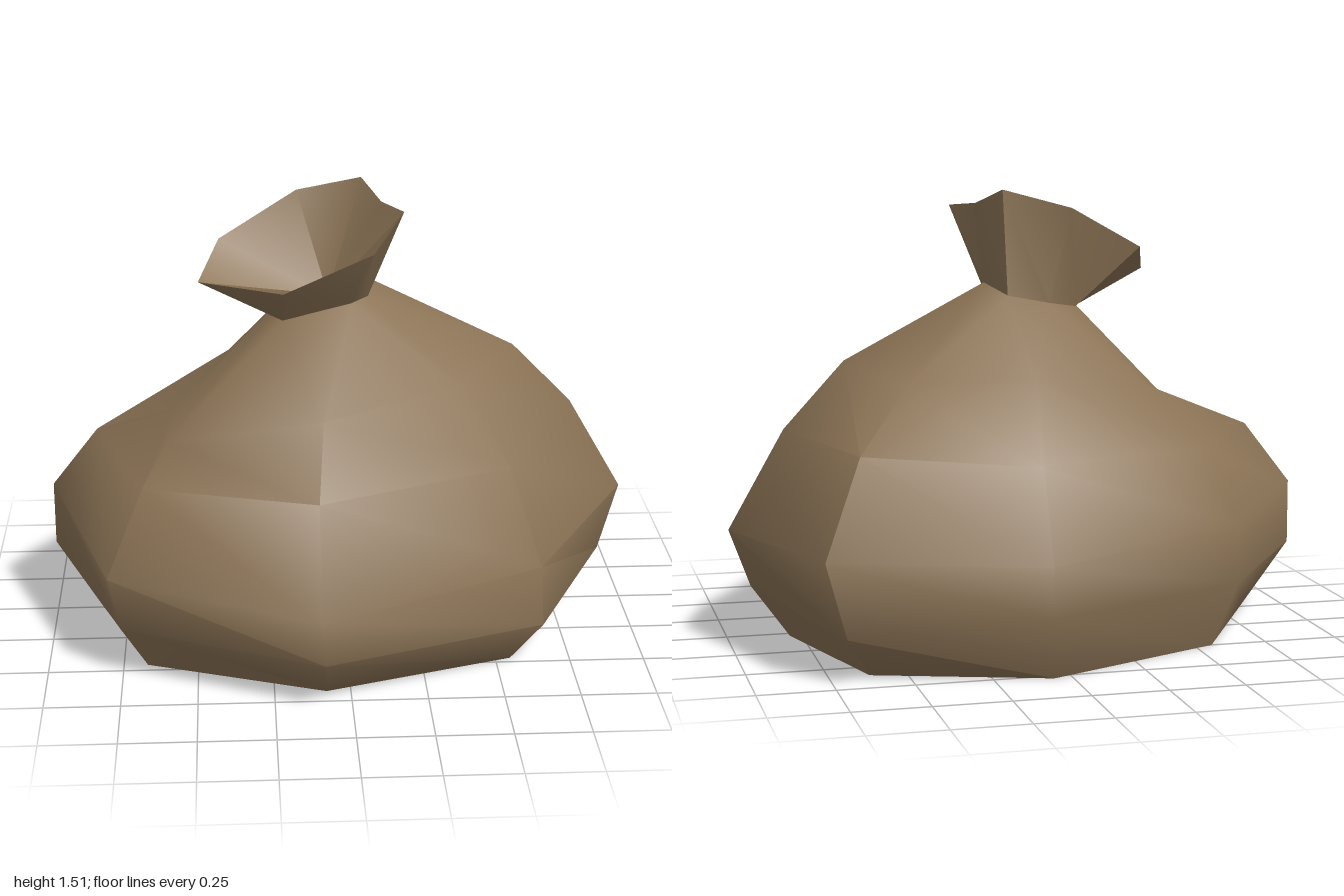
import * as THREE from 'three';
import { toCreasedNormals } from 'three/addons/utils/BufferGeometryUtils.js';

// Each ring runs back, back +x, +x, front +x, front, front -x, -x, back -x.
const base = [[0.06, 0, -0.78], [0.62, 0, -0.6], [0.79, 0, -0.03], [0.55, 0, 0.47],
  [-0.08, 0, 0.68], [-0.67, 0, 0.46], [-0.84, 0, 0], [-0.56, 0, -0.5]];
const low = [[0.08, 0.21, -0.86], [0.71, 0.15, -0.73], [0.92, 0.18, -0.03], [0.65, 0.155, 0.54],
  [-0.09, 0.18, 0.86], [-0.75, 0.18, 0.56], [-1, 0.24, -0.04], [-0.63, 0.22, -0.56]];
const belly = [[0.08, 0.37, -0.85], [0.78, 0.4, -0.75], [1, 0.39, -0.1], [0.64, 0.36, 0.53],
  [-0.1, 0.32, 0.85], [-0.79, 0.37, 0.58], [-1, 0.46, -0.04], [-0.63, 0.42, -0.55]];
const upper = [[0.07, 0.66, -0.69], [0.64, 0.7, -0.59], [0.81, 0.72, -0.09], [0.54, 0.68, 0.44],
  [-0.1, 0.66, 0.68], [-0.67, 0.65, 0.49], [-0.84, 0.67, -0.02], [-0.55, 0.66, -0.46]];
const shoulder = [[0.03, 0.9, -0.46], [0.46, 0.9, -0.45], [0.6, 0.94, -0.06], [0.39, 0.92, 0.31],
  [-0.08, 0.88, 0.52], [-0.59, 0.74, 0.29], [-0.57, 0.75, 0], [-0.38, 0.86, -0.29]];
const neck = [[-0.08, 1.13, -0.19], [0.07, 1.16, -0.21], [0.11, 1.19, -0.03], [0.09, 1.16, 0.06],
  [0.03, 1.15, 0.11], [-0.2, 1.1, 0.13], [-0.23, 1.1, 0.02], [-0.19, 1.11, -0.12]];
const rim = [[-0.14, 1.45, -0.25], [0.08, 1.51, -0.18], [0.14, 1.46, -0.04], [0.21, 1.45, 0.06],
  [0.1, 1.35, 0.22], [-0.2, 1.24, 0.29], [-0.48, 1.22, 0.07], [-0.41, 1.31, -0.14]];

// A ring with all its corners gathered at one point, used to close a shape
const point = (x, y, z) => base.map(() => [x, y, z]);

// Skin a stack of rings, skipping triangles that collapse at a gathered ring
function loft(rings, creaseAngle) {
  const positions = [];
  const triangle = (a, b, c) => {
    const same = (p, q) => p.every((v, k) => v === q[k]);
    if (!same(a, b) && !same(b, c) && !same(c, a)) positions.push(...a, ...b, ...c);
  };
  for (let r = 0; r < rings.length - 1; r++) {
    for (let i = 0; i < 8; i++) {
      const j = (i + 1) % 8;
      const [a, b, c, d] = [rings[r][i], rings[r][j], rings[r + 1][j], rings[r + 1][i]];
      triangle(a, d, c);
      triangle(a, c, b);
    }
  }
  const geometry = new THREE.BufferGeometry();
  geometry.setAttribute('position', new THREE.Float32BufferAttribute(positions, 3));
  return toCreasedNormals(geometry, creaseAngle);
}

export function createModel() {
  const group = new THREE.Group();
  group.name = 'tiedSack';
  const cloth = new THREE.MeshStandardMaterial({ color: 0x8b7355 });
  cloth.name = 'brown cloth';

  const add = (name, geometry) => {
    const mesh = new THREE.Mesh(geometry, cloth);
    mesh.name = name;
    group.add(mesh);
  };

  // Bulging body with a flat base
  add('sackBody', loft([point(-0.03, 0, -0.03), base, low, belly, upper, shoulder, neck], 0.85));
  // Flared opening above the pinched neck
  add('sackMouth', loft([neck, rim], 0.6));
  // Hollow inside the opening
  add('mouthLining', loft([rim, point(-0.04, 1.13, -0.06)], 0.6));

  return group;
}
